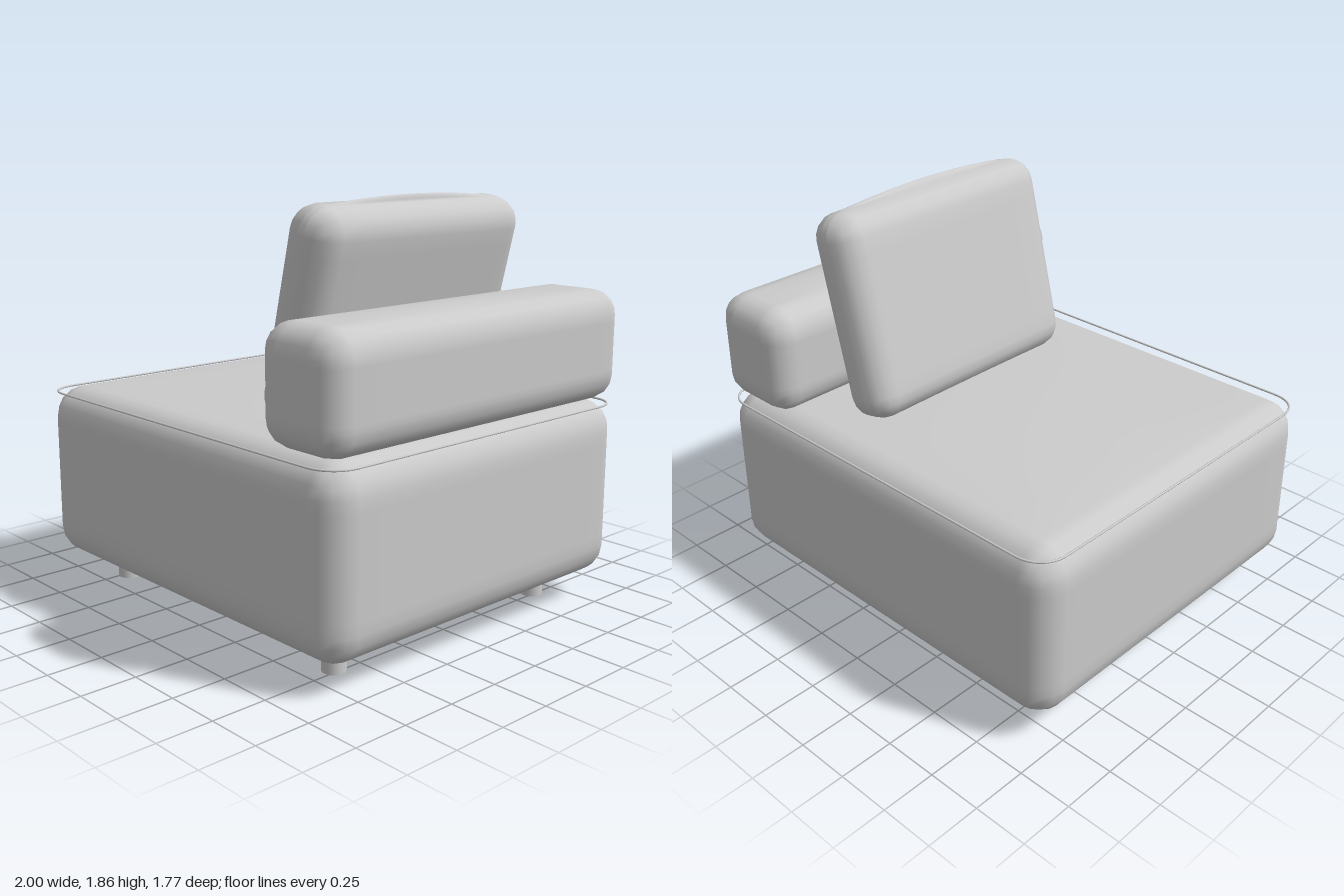
import * as THREE from 'three';
import { mergeVertices } from 'three/addons/utils/BufferGeometryUtils.js';

const material = new THREE.MeshStandardMaterial({ color: 0xcccccc });

// Rounded cushion block centred on its origin, with a top that swells by `crown`
function cushionGeometry(w, h, d, r, crown) {
  const k = 2, mid = 10, n = 2 * k + mid;
  let geo = new THREE.BoxGeometry(1, 1, 1, n, n, n);
  geo.deleteAttribute('normal');
  geo.deleteAttribute('uv');
  const inner = [w / 2 - r, h / 2 - r, d / 2 - r];
  const pos = geo.attributes.position;
  const core = new THREE.Vector3(), out = new THREE.Vector3();
  for (let i = 0; i < pos.count; i++) {
    for (let a = 0; a < 3; a++) {
      const step = Math.round((pos.getComponent(i, a) + 0.5) * n) - n / 2;
      const over = Math.max(0, Math.abs(step) - mid / 2);
      core.setComponent(a, inner[a] * THREE.MathUtils.clamp(step / (mid / 2), -1, 1));
      out.setComponent(a, Math.sign(step) * Math.tan((over / k) * Math.PI / 4));
    }
    out.setLength(r);
    const swell = out.y > 0
      ? crown * (1 - (core.x / inner[0]) ** 2) * (1 - (core.z / inner[2]) ** 2) : 0;
    pos.setXYZ(i, core.x + out.x, core.y + out.y + swell, core.z + out.z);
  }
  geo = mergeVertices(geo, 1e-5);
  geo.computeVertexNormals();
  return geo;
}

// Thin welt following a rounded rectangle in the horizontal plane
function pipingGeometry(halfX, halfZ, r, thickness) {
  const points = [];
  const corners = [[1, 1], [-1, 1], [-1, -1], [1, -1]];
  corners.forEach(([sx, sz], c) => {
    for (let i = 0; i <= 6; i++) {
      const a = (c + i / 6) * Math.PI / 2;
      points.push(new THREE.Vector3(
        sx * (halfX - r) + r * Math.cos(a), 0, sz * (halfZ - r) + r * Math.sin(a)));
    }
  });
  const path = new THREE.CatmullRomCurve3(points, true, 'catmullrom', 0);
  path.arcLengthDivisions = 600;
  return new THREE.TubeGeometry(path, 240, thickness, 8, true);
}

export function createModel() {
  const model = new THREE.Group();
  model.name = 'loungeSeat';

  const add = (name, geometry, x, y, z) => {
    const mesh = new THREE.Mesh(geometry, material);
    mesh.name = name;
    mesh.position.set(x, y, z);
    model.add(mesh);
    return mesh;
  };

  // Deep upholstered base
  add('seat', cushionGeometry(2, 0.815, 1.77, 0.14, 0.022), 0, 0.5275, 0);

  // Welt around the top edge of the seat
  add('seatPiping', pipingGeometry(0.988, 0.878, 0.13, 0.005), 0, 0.915, 0);

  // Bolster along the left side
  add('armBolster', cushionGeometry(0.44, 0.495, 1.77, 0.115, 0.01), 0.778, 1.182, 0);

  // Loose cushion leaning against the bolster
  const back = add('backCushion', cushionGeometry(0.266, 0.94, 1.22, 0.115, 0.028), 0.4175, 1.375, -0.013);
  back.rotation.z = -0.24;

  // Four short round feet
  for (const x of [-0.73, 0.73]) {
    for (const z of [-0.625, 0.625]) {
      add('foot', new THREE.CylinderGeometry(0.052, 0.052, 0.13, 20), x, 0.065, z);
    }
  }
  return model;
}
